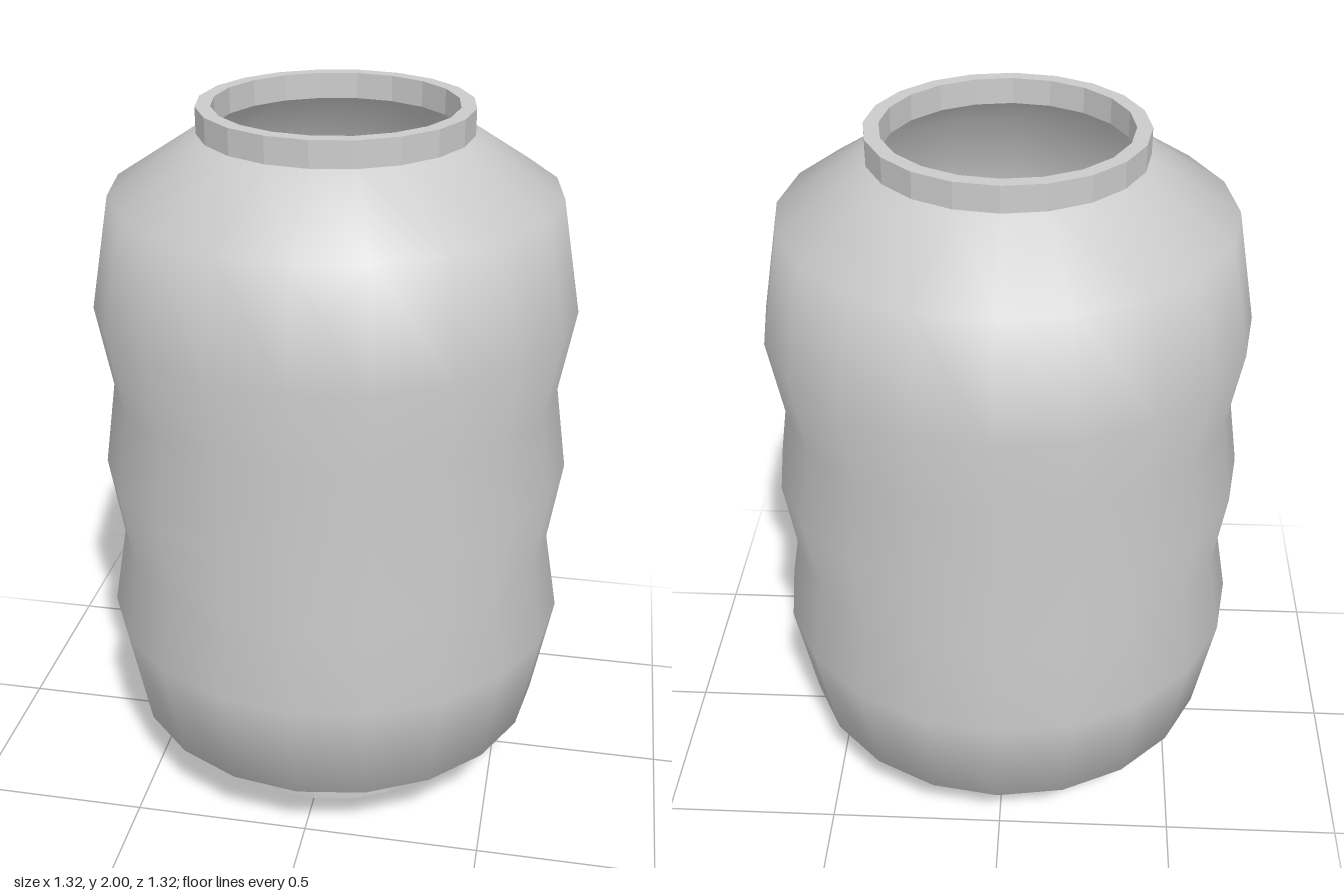
import * as THREE from 'three';

const SIDES = 20;

// Revolve [radius, height] pairs about the y axis
function revolve(profile, options, name) {
  const points = profile.map(([r, y]) => new THREE.Vector2(r, y));
  const material = new THREE.MeshStandardMaterial({ color: 0xcccccc, ...options });
  const mesh = new THREE.Mesh(new THREE.LatheGeometry(points, SIDES), material);
  mesh.name = name;
  return mesh;
}

export function createModel() {
  const lantern = new THREE.Group();
  lantern.name = 'lantern';

  // Thin, smooth paper shade with three bulges, open at both ends;
  // the lower half mirrors the upper half
  const upper = [[0.655, 1], [0.62, 1.235], [0.66, 1.465], [0.603, 1.775], [0.365, 1.93]];
  const lower = upper.slice(1).reverse().map(([r, y]) => [r, 2 - y]);
  lantern.add(revolve([...lower, ...upper], { side: THREE.DoubleSide }, 'paperShade'));

  // Faceted rims around the two openings
  const outer = 0.365, inner = 0.325, height = 0.07;
  const section = [[outer, 0], [outer, height], [inner, height], [inner, 0], [outer, 0]];
  for (const [name, y] of [['bottomRim', 0], ['topRim', 2 - height]]) {
    const rim = revolve(section, { flatShading: true }, name);
    rim.position.y = y;
    lantern.add(rim);
  }

  return lantern;
}
